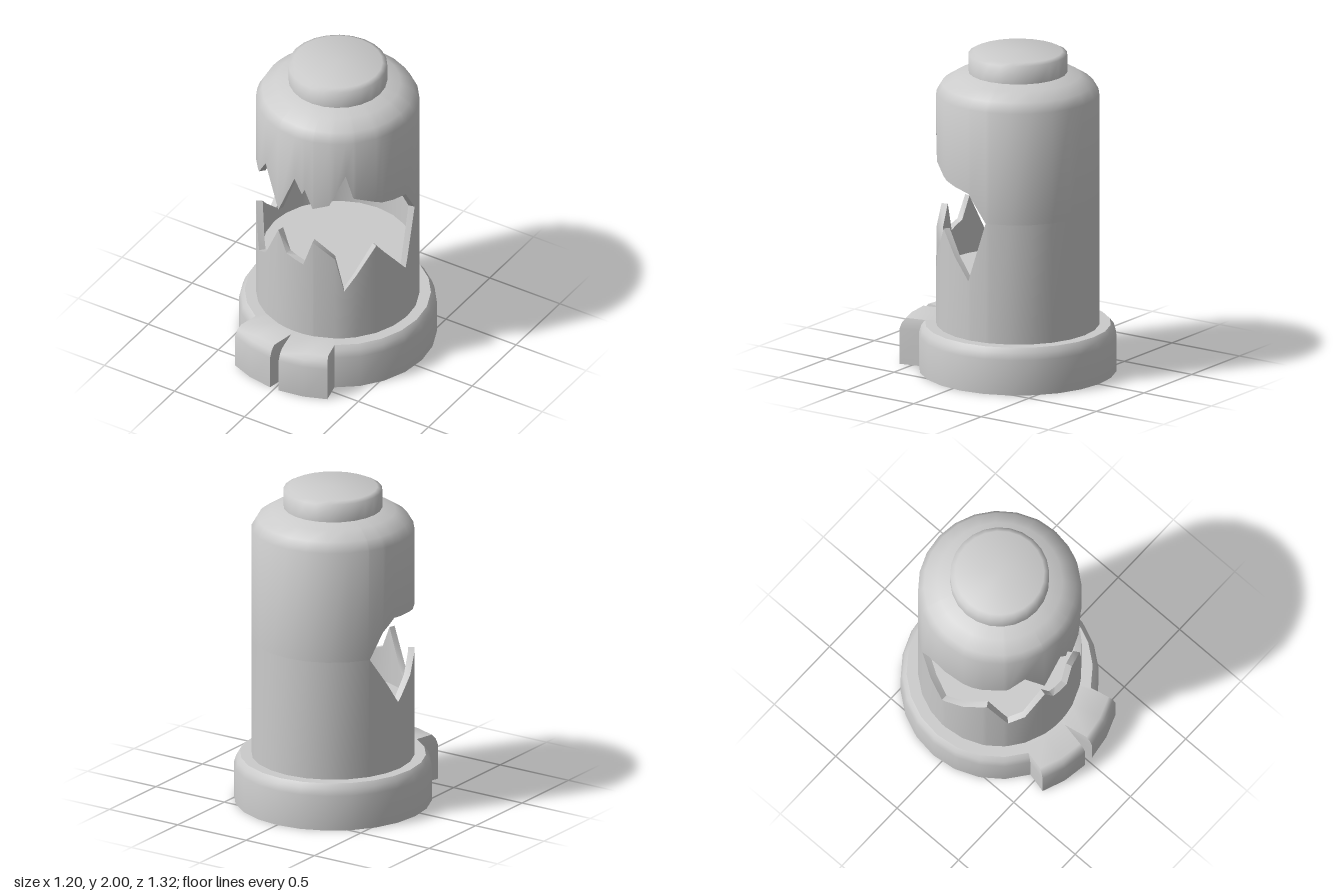
import * as THREE from 'three';
import { toCreasedNormals } from 'three/addons/utils/BufferGeometryUtils.js';

const AXIS_Z = -0.065;
const material = new THREE.MeshStandardMaterial({ color: 0xcccccc, side: THREE.DoubleSide });

// Broken edges of the shell: [degrees from the front towards +x, height]
const UPPER_EDGE = [[-119, 1.04], [-108, 1.2], [-97, 1.27], [-68, 1.25], [-42, 1.28], [-30, 1.41],
  [-14.6, 1.14], [0, 1.43], [6, 1.33], [8, 1.37], [14, 1.24], [26, 1.28], [37.5, 1.5], [43, 1.33],
  [65, 1.25], [88, 1.21], [102, 1.04]];
const LOWER_EDGE = [[-119, 1.04], [-93, 0.72], [-57, 0.97], [-42, 0.69], [-30, 0.74], [-14.6, 0.99],
  [-7, 0.85], [7, 0.81], [14, 0.99], [30, 0.88], [36.5, 0.64], [60, 0.94], [88, 0.66], [102, 1.04]];

// Piecewise linear height of an edge; the wall is unbroken outside its range
function edgeHeight(edge, t) {
  for (let i = 1; i < edge.length; i++) {
    const [t0, y0] = edge[i - 1], [t1, y1] = edge[i];
    if (t >= t0 && t <= t1) return y0 + (y1 - y0) * (t - t0) / (t1 - t0);
  }
  return 1.04;
}

// 24 regular steps plus extra angles, sorted
function angles(extra = []) {
  const all = new Set(extra);
  for (let t = -180; t < 180; t += 15) all.add(t);
  return [...all].sort((a, b) => a - b);
}

// Closed surface around the axis; every row maps an angle to [radius, height]
function revolve(name, degs, rows, crease = 0.8) {
  const pos = [], index = [], n = degs.length;
  for (const row of rows) {
    for (const t of degs) {
      const [r, y] = typeof row === 'function' ? row(t) : row;
      const a = THREE.MathUtils.degToRad(t);
      pos.push(r * Math.sin(a), y, r * Math.cos(a) + AXIS_Z);
    }
  }
  for (let i = 0; i < rows.length - 1; i++) {
    for (let j = 0; j < n; j++) {
      const k = (j + 1) % n;
      const a = i * n + j, b = i * n + k, c = a + n, d = b + n;
      if (rows[i][0] !== 0) index.push(a, b, d);
      if (rows[i + 1][0] !== 0) index.push(a, d, c);
    }
  }
  const geometry = new THREE.BufferGeometry();
  geometry.setAttribute('position', new THREE.Float32BufferAttribute(pos, 3));
  geometry.setIndex(index);
  const mesh = new THREE.Mesh(toCreasedNormals(geometry, crease), material);
  mesh.name = name;
  return mesh;
}

export function createModel() {
  const group = new THREE.Group();
  group.name = 'brokenCanister';

  // Base ring with two toes and a notch between them at the front
  const toes = [-27, -15, -2.4, 0, 2.4, 15, 27];
  const outline = (t) => (t === 0 ? 0.565 : Math.abs(t) <= 27 ? 0.725 : 0.6);
  const ring = (scale, y) => (t) => [outline(t) * scale, y];
  group.add(revolve('base', angles(toes), [
    [0, 0], ring(1, 0), ring(1, 0.22), ring(0.978, 0.262), ring(0.94, 0.29), [0.48, 0.29],
  ]));

  // Lower shell: outer wall, jagged rim, inner wall, floor
  const R = 0.495, INNER = 0.455;
  const low = (r) => (t) => [r, edgeHeight(LOWER_EDGE, t)];
  group.add(revolve('lowerShell', angles(LOWER_EDGE.map((p) => p[0])), [
    [R, 0.25], low(R), low(INNER), [INNER, 0.63], [0, 0.63],
  ]));

  // Upper shell: ceiling, inner wall, jagged rim, outer wall, rounded shoulder
  const high = (r) => (t) => [r, edgeHeight(UPPER_EDGE, t)];
  group.add(revolve('upperShell', angles(UPPER_EDGE.map((p) => p[0])), [
    [0, 1.62], [INNER, 1.62], high(INNER), high(R), [R, 1.74], [0.46, 1.8], [0.38, 1.85], [0.29, 1.875],
  ]));

  // Round cap
  group.add(revolve('cap', angles(), [[0.3, 1.85], [0.3, 1.985], [0.27, 2], [0, 2]], 1.2));
  return group;
}
